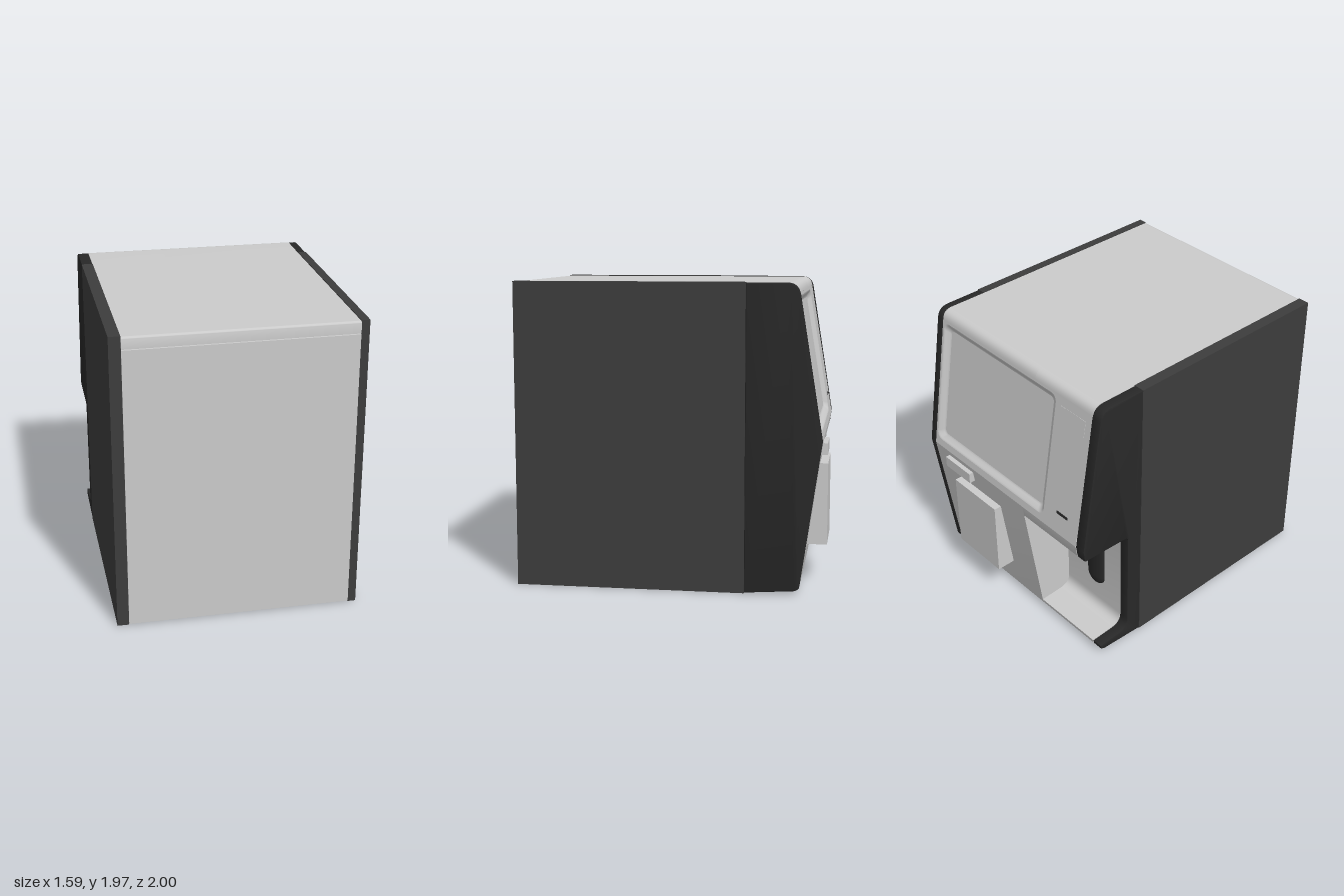
import * as THREE from 'three';
import { toCreasedNormals } from 'three/addons/utils/BufferGeometryUtils.js';

const grey = new THREE.MeshStandardMaterial({ color: 0xcccccc, side: THREE.DoubleSide });
const sideDark = new THREE.MeshStandardMaterial({ color: 0x3d3d3d });
const faceDark = new THREE.MeshStandardMaterial({ color: 0x282828 });

function add(parent, name, geometry, material = grey) {
  const mesh = new THREE.Mesh(geometry, material);
  mesh.name = name;
  parent.add(mesh);
  return mesh;
}

// Box given by its limits on each axis
function box(x0, x1, y0, y1, z0, z1) {
  return new THREE.BoxGeometry(x1 - x0, y1 - y0, z1 - z0)
    .translate((x0 + x1) / 2, (y0 + y1) / 2, (z0 + z1) / 2);
}

// Side profile of [z, y, cornerRadius] points, extruded across x
function extrudeX(points, x0, x1, bevel = 0) {
  const shape = new THREE.Shape();
  const n = points.length;
  const v = points.map(([z, y]) => new THREE.Vector2(-z, y));
  points.forEach(([, , r = 0], i) => {
    const p = v[i];
    const toward = (q) => q.clone().sub(p).normalize().multiplyScalar(r).add(p);
    const a = toward(v[(i + n - 1) % n]), b = toward(v[(i + 1) % n]);
    if (i === 0) shape.moveTo(a.x, a.y); else shape.lineTo(a.x, a.y);
    if (r) shape.quadraticCurveTo(p.x, p.y, b.x, b.y);
  });
  shape.closePath();
  const geometry = new THREE.ExtrudeGeometry(shape, {
    depth: x1 - x0 - 2 * bevel, curveSegments: 8, bevelEnabled: bevel > 0,
    bevelSize: bevel, bevelThickness: bevel, bevelOffset: -bevel, bevelSegments: 2,
  });
  geometry.translate(0, 0, x0 + bevel).rotateY(Math.PI / 2);
  return toCreasedNormals(geometry, 0.5);
}

// Rounded rectangle as a loop of points, counter-clockwise
function roundedLoop(x0, x1, y0, y1, r, steps = 6) {
  const corners = [[x1 - r, y0 + r, -1], [x1 - r, y1 - r, 0], [x0 + r, y1 - r, 1], [x0 + r, y0 + r, 2]];
  return corners.flatMap(([cx, cy, q]) => Array.from({ length: steps + 1 }, (_, i) => {
    const a = (q + i / steps) * Math.PI / 2;
    return new THREE.Vector2(cx + r * Math.cos(a), cy + r * Math.sin(a));
  }));
}

// Smooth skin between successive closed loops, each { points, z }
function loft(loops) {
  const n = loops[0].points.length, pos = [], idx = [];
  loops.forEach(({ points, z }) => points.forEach((p) => pos.push(p.x, p.y, z)));
  for (let j = 0; j < loops.length - 1; j++) {
    for (let i = 0; i < n; i++) {
      const a = j * n + i, b = j * n + (i + 1) % n;
      idx.push(a, b, b + n, a, b + n, a + n);
    }
  }
  const g = new THREE.BufferGeometry();
  g.setAttribute('position', new THREE.Float32BufferAttribute(pos, 3));
  g.setIndex(idx);
  g.computeVertexNormals();
  return g;
}

export function createModel() {
  const model = new THREE.Group();
  const L = -0.72, R = 0.735, SPLIT = -0.49, NICHE = -0.2;

  // Cabinet, flat panel and rounded top trim on the +z end
  add(model, 'cabinet', box(L, R, 0.005, 1.96, SPLIT, 0.975));
  add(model, 'cabinetPanel', box(L, R, 0.01, 1.878, 0.975, 0.997));
  add(model, 'topTrim', extrudeX([[0.975, 1.884], [0.975, 1.96], [0.997, 1.96, 0.02], [0.997, 1.884]], L, R));

  // Profile pieces shared by the fascia and its dark cheeks
  const bottom = [[SPLIT, 0.003], [-0.81, 0.025, 0.01], [-0.838, 0.04, 0.012]];
  const notch = [[-0.842, 0.07], [-0.6, 0.08, 0.08], [-0.6, 0.88, 0.03], [-0.962, 0.895, 0.01]];
  const peak = [[-0.974, 0.98]];
  const top = [[-0.815, 1.962, 0.075], [SPLIT, 1.962]];
  const inset = [[-0.93, 1.0], [-0.785, 1.87], [-0.8205, 1.9]];

  // Fascia: full section and the section with the open niche
  add(model, 'fasciaBody', extrudeX([...bottom, ...peak, ...inset, [-0.81, 1.962, 0.06], [SPLIT, 1.96]], NICHE, R));
  add(model, 'nicheBody', extrudeX([...bottom, ...notch, ...peak, ...inset, [-0.81, 1.962, 0.06], [SPLIT, 1.96]], L, NICHE));

  // Side panels and cheeks
  for (const [side, x0, x1] of [['right', -0.795, L], ['left', R, 0.79]]) {
    add(model, side + 'SidePanel', box(x0, x1, 0, 1.965, SPLIT, 0.988), sideDark);
    const cut = side === 'right' ? notch : [];
    add(model, side + 'Cheek', extrudeX([...bottom, ...cut, ...peak, ...top], x0, x1, 0.008), faceDark);
  }

  // Tilted upper fascia; local z points out of the face
  const face = new THREE.Group();
  face.name = 'upperFascia';
  face.position.set(0, 0.98, -0.974);
  face.rotation.set(-Math.atan2(0.154, 0.92), Math.PI, 0, 'YXZ');
  model.add(face);

  const plate = new THREE.Shape(roundedLoop(-R, -L, 0, 0.934, 0.001, 1));
  const rim = [[0, 0, 0.05], [0.012, -0.004, 0.045], [0.035, -0.026, 0.035], [0.048, -0.03, 0.03]]
    .map(([d, z, r]) => ({ points: roundedLoop(-0.72 + d, 0.4 - d, 0.05 + d, 0.915 - d, r), z }));
  plate.holes.push(new THREE.Path(rim[0].points));
  add(face, 'fasciaPlate', new THREE.ShapeGeometry(plate));
  add(face, 'screenRim', loft(rim));
  add(face, 'screen', new THREE.ShapeGeometry(new THREE.Shape(rim[3].points)).translate(0, 0, -0.03));
  add(face, 'labelPlate', box(0.45, 0.67, 0.75, 0.87, -0.005, 0.002));
  add(face, 'cardSlot', box(0.52, 0.62, 0.14, 0.158, -0.005, 0.003), faceDark);

  // Raised blocks below the screen
  add(model, 'upperBlock', box(0.33, 0.59, 0.87, 0.945, -1, -0.9));
  add(model, 'lowerBlock', box(0.07, 0.5, 0.265, 0.8, -1, -0.8));

  // Dark rounded bar running down the niche wall
  const bar = add(model, 'nicheBar', new THREE.CapsuleGeometry(0.08, 0.5, 8, 20), faceDark);
  bar.scale.z = 0.35;
  bar.position.set(-0.49, 0.62, -0.6);

  return model;
}
